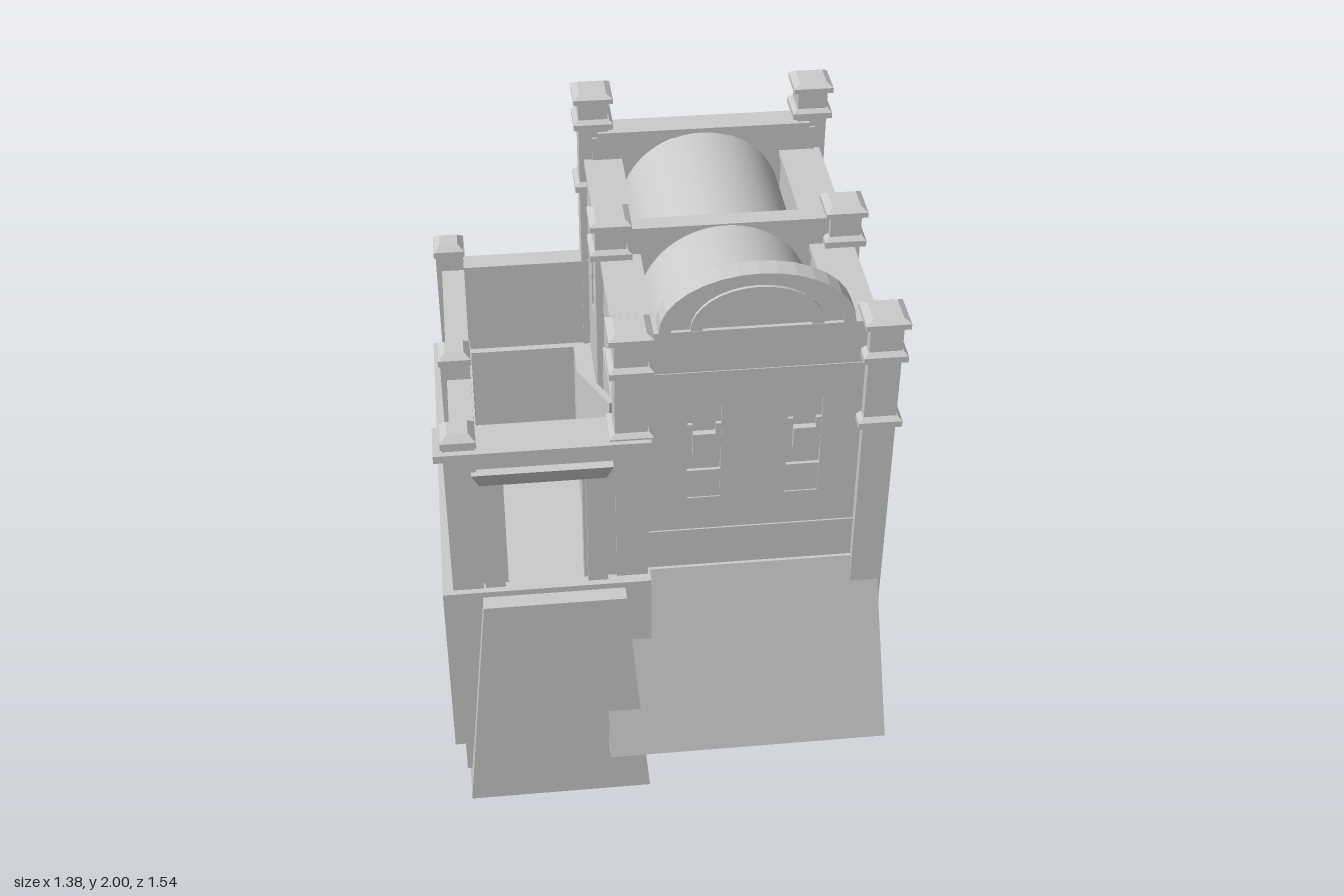
import * as THREE from 'three';

export function createModel() {
  const root = new THREE.Group();
  const mat = new THREE.MeshStandardMaterial({ color: 0xcccccc, flatShading: true, side: THREE.DoubleSide });
  const smooth = new THREE.MeshStandardMaterial({ color: 0xcccccc, side: THREE.DoubleSide });

  const add = (name, geo, parent = root, m = mat) => {
    const mesh = new THREE.Mesh(geo, m);
    mesh.name = name;
    parent.add(mesh);
    return mesh;
  };
  // Box given by its limits; the optional top limits [x0, x1, z0, z1] make it taper
  const box = (name, x0, x1, y0, y1, z0, z1, parent = root, top = null) => {
    const g = new THREE.BoxGeometry(1, 1, 1);
    const p = g.attributes.position;
    for (let i = 0; i < p.count; i++) {
      const up = p.getY(i) > 0;
      const [a, b, c, d] = up && top ? top : [x0, x1, z0, z1];
      p.setXYZ(i, p.getX(i) > 0 ? b : a, up ? y1 : y0, p.getZ(i) > 0 ? d : c);
    }
    g.computeVertexNormals();
    return add(name, g, parent);
  };
  const block = (name, x, z, y0, y1, w, parent, wTop = w) =>
    box(name, x - w, x + w, y0, y1, z - w, z + w, parent, [x - wTop, x + wTop, z - wTop, z + wTop]);
  const group = (name) => {
    const g = new THREE.Group();
    g.name = name;
    root.add(g);
    return g;
  };
  const rect = (x0, x1, y0, y1, Type = THREE.Shape) => {
    const s = new Type();
    s.moveTo(x0, y0); s.lineTo(x1, y0); s.lineTo(x1, y1); s.lineTo(x0, y1); s.closePath();
    return s;
  };

  // Battered base of the main block
  box('battered base', -0.2, 0.69, 0.29, 0.96, -0.77, 0.77, root, [-0.2, 0.64, -0.635, 0.635]);
  box('front underside plate', 0, 0.54, 0.14, 0.3, 0.555, 0.56);
  box('middle underside plate', -0.11, 0.52, 0.14, 0.3, 0.01, 0.015);

  // Main block: core, parapets and cross walls
  box('hall core', -0.125, 0.615, 0.95, 1.56, -0.63, 0.605);
  box('string course', -0.14, 0.635, 0.96, 1.1, -0.64, 0.625);
  for (const [x0, x1] of [[-0.14, -0.03], [0.51, 0.63]]) {
    box('side parapet', x0, x1, 1.5, 1.68, -0.62, 0.6);
    box('parapet coping', x0 - 0.008, x1 + 0.008, 1.68, 1.7, -0.62, 0.6);
  }
  box('rear wall', -0.12, 0.62, 0.96, 1.78, -0.645, -0.57);
  box('rear coping', -0.1, 0.6, 1.77, 1.8, -0.655, -0.565);
  box('middle cross wall', -0.1, 0.6, 1.5, 1.79, -0.045, 0.015);

  // Barrel vault roof
  const vault = new THREE.CylinderGeometry(0.27, 0.27, 1.15, 32, 1, true, Math.PI / 2, Math.PI);
  vault.rotateX(Math.PI / 2);
  const vp = vault.attributes.position;
  let low = 0;
  for (let i = 0; i < vp.count; i++) low = Math.min(low, vp.getY(i));
  if (low < -0.1) vault.rotateZ(Math.PI);
  vault.translate(0.24, 1.515, -0.01);
  add('barrel vault', vault, root, smooth);

  // Front gable with stepped arches
  box('front gable wall', -0.12, 0.61, 1.5, 1.82, 0.555, 0.612);
  box('gable band', -0.08, 0.57, 1.68, 1.82, 0.56, 0.617);
  const arch = (name, hw, h, z0, z1, inner) => {
    const path = (Type, a, b) => {
      const s = new Type();
      for (let i = 0; i <= 16; i++) {
        const t = Math.PI * i / 16;
        const x = 0.245 + a * Math.cos(t), y = 1.82 + b * Math.sin(t);
        if (i) s.lineTo(x, y); else s.moveTo(x, y);
      }
      s.closePath();
      return s;
    };
    const s = path(THREE.Shape, hw, h);
    if (inner) s.holes.push(path(THREE.Path, ...inner));
    const g = new THREE.ExtrudeGeometry(s, { depth: z1 - z0, bevelEnabled: false, curveSegments: 1 });
    add(name, g.translate(0, 0, z0));
  };
  arch('gable arch', 0.275, 0.17, 0.56, 0.605);
  arch('gable outer moulding', 0.28, 0.18, 0.55, 0.617, [0.245, 0.15]);
  arch('gable inner moulding', 0.19, 0.135, 0.6, 0.615, [0.155, 0.105]);

  // Window relief: a pierced facing over the core, with sill and bracket blocks
  const facade = (name, x0, x1, windows, place) => {
    const g = group(name);
    const s = rect(x0, x1, 1.1, 1.68);
    for (const c of windows) s.holes.push(rect(c - 0.05, c + 0.05, 1.22, 1.565, THREE.Path));
    add('pierced facing', new THREE.ExtrudeGeometry(s, { depth: 0.015, bevelEnabled: false }), g);
    for (const c of windows) {
      box('window sill block', c - 0.05, c + 0.05, 1.22, 1.32, 0, 0.011, g);
      box('window bracket', c - 0.033, c + 0.033, 1.385, 1.46, 0, 0.02, g);
      for (const k of [-1, 1]) box('window jamb', c + k * 0.042 - 0.008, c + k * 0.042 + 0.008, 1.38, 1.49, 0, 0.011, g);
    }
    place(g);
  };
  facade('front facade', -0.1, 0.6, [0.1, 0.395], (g) => { g.position.z = 0.605; });
  facade('left facade', -0.6, 0.6, [-0.39, -0.19, 0.205, 0.39], (g) => {
    g.position.x = 0.615; g.rotation.y = Math.PI / 2;
  });
  facade('right facade', -0.6, 0.6, [-0.39, -0.205], (g) => {
    g.position.x = -0.125; g.rotation.y = -Math.PI / 2;
  });

  // Main piers: [z, top, band heights]
  for (const x of [-0.115, 0.608]) {
    for (const [z, top, bands] of [[0.605, 1.84, [1.49, 1.72]], [-0.01, 1.83, [1.72]], [-0.625, 1.93, [1.6, 1.83]]]) {
      const g = group('pier');
      block('pier shaft', x, z, 0.74, top - 0.015, 0.048, g);
      for (const y of bands) {
        block('pier band', x, z, y - 0.015, y + 0.005, 0.064, g);
        block('pier band top', x, z, y + 0.005, y + 0.016, 0.064, g, 0.052);
      }
      block('pier cap', x, z, top - 0.022, top - 0.005, 0.064, g);
      block('pier cap top', x, z, top - 0.005, top + 0.008, 0.064, g, 0.044);
    }
  }

  // Terrace platform, hollow and open below
  const platform = group('terrace platform');
  const slope = (x0, x1, name, z0, z1) => box(name, x0[0], x0[1], 0.11, 0.94, z0, z1, platform, [x1[0], x1[1], z0, z1]);
  slope([-0.65, -0.07], [-0.57, -0.14], 'platform front', 0.72, 0.735);
  slope([-0.645, -0.2], [-0.57, -0.18], 'platform back', -0.13, -0.125);
  slope([-0.65, -0.645], [-0.57, -0.565], 'platform side', -0.13, 0.73);
  box('terrace floor', -0.57, -0.14, 0.92, 0.94, -0.13, 0.73, platform);

  // Terrace walls and railings
  const terrace = group('terrace walls');
  box('side lower wall', -0.69, -0.56, 0.31, 0.96, -0.635, 0.68, terrace);
  box('back lower wall', -0.64, -0.19, 0.31, 0.96, -0.67, -0.56, terrace);
  box('front lower wall', -0.69, -0.06, 0.72, 0.96, 0.56, 0.685, terrace);
  box('side railing wall', -0.63, -0.575, 0.96, 1.28, -0.6, 0.6, terrace);
  box('back railing wall', -0.6, -0.12, 0.96, 1.28, -0.64, -0.585, terrace);
  box('side rail', -0.64, -0.565, 1.28, 1.305, -0.6, 0.6, terrace);
  box('back rail', -0.6, -0.12, 1.28, 1.305, -0.65, -0.575, terrace);
  for (const [z0, z1] of [[-0.52, -0.08], [0.1, 0.54]]) {
    box('side railing panel', -0.635, -0.57, 1.02, 1.22, z0, z1, terrace);
  }

  // Terrace posts and the legs below them: [z, foot, top]
  for (const [z, foot, top] of [[0.62, 0.18, 1.54], [0.02, 0, 1.4], [-0.61, 0, 1.4]]) {
    const g = group('terrace post');
    block('post shaft', -0.612, z, foot, top - 0.04, 0.046, g);
    block('post cap', -0.612, z, top - 0.04, top - 0.018, 0.052, g);
    block('post cap top', -0.612, z, top - 0.018, top, 0.05, g, 0.03);
  }

  // Terrace gateway in the front
  const gate = group('gateway');
  for (const [x0, x1, i0, i1] of [[-0.585, -0.49, -0.56, -0.5], [-0.26, -0.14, -0.25, -0.19]]) {
    box('gate jamb', x0, x1, 0.96, 1.4, 0.59, 0.645, gate);
    box('gate pilaster', i0, i1, 0.96, 1.38, 0.58, 0.665, gate);
  }
  box('gate header', -0.6, -0.12, 1.36, 1.47, 0.58, 0.655, gate);
  box('gate lintel', -0.56, -0.19, 1.36, 1.41, 0.56, 0.67, gate, [-0.58, -0.17, 0.555, 0.685]);
  box('gate cornice', -0.685, -0.06, 1.465, 1.49, 0.55, 0.685, gate);

  // Terrace doorway with its open leaf
  box('door surround', -0.15, -0.13, 0.95, 1.42, 0.1, 0.45);
  box('door step', -0.24, -0.2, 0.92, 0.965, 0.1, 0.45);
  const leaf = box('door leaf', -0.01, 0.01, 0.96, 1.42, -0.1, 0.1);
  leaf.position.set(-0.19, 0, 0.3);
  leaf.rotation.y = 0.45;

  return root;
}
